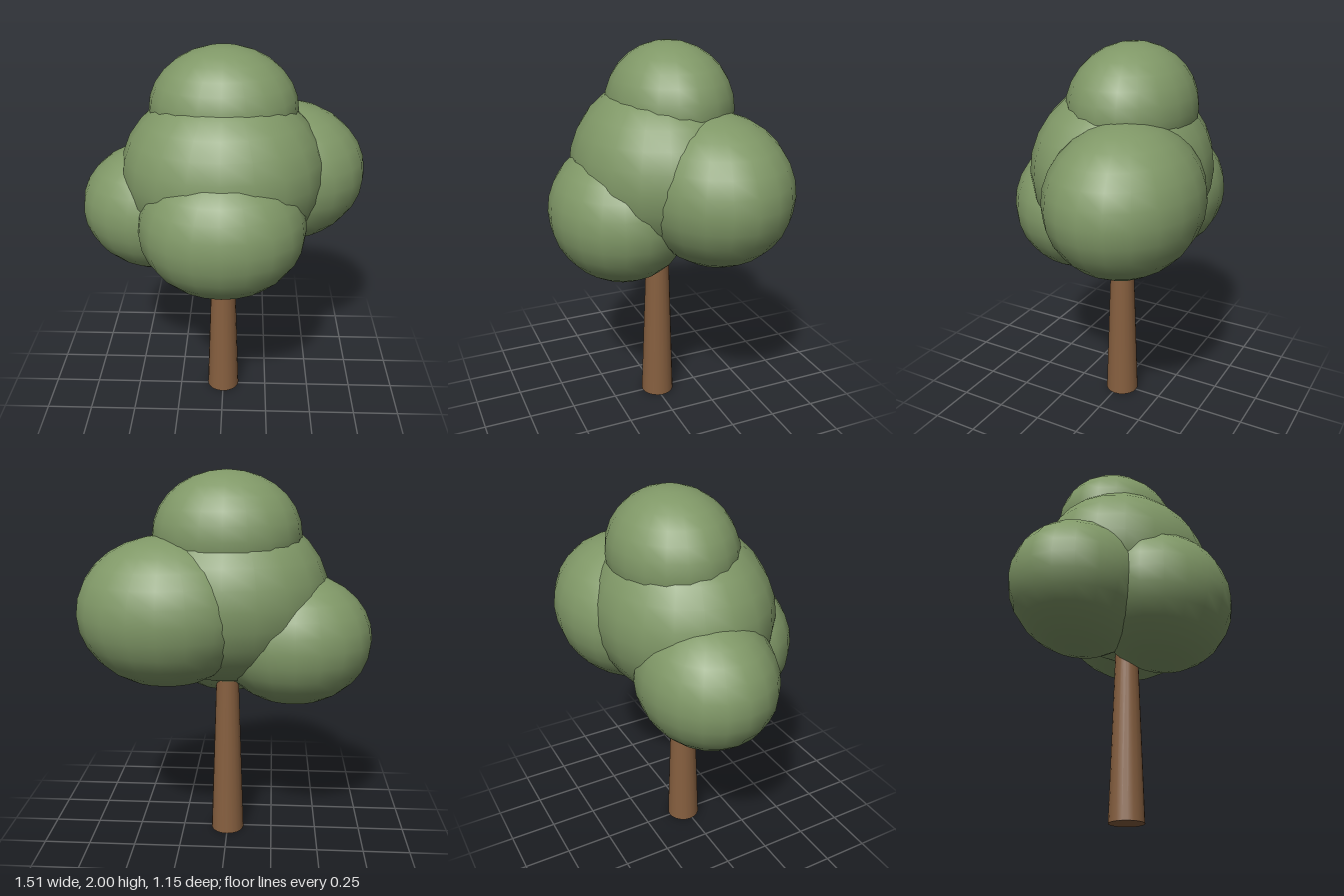
import * as THREE from 'three';

export function createModel() {
  const tree = new THREE.Group();
  tree.name = 'tree';

  const bark = new THREE.MeshStandardMaterial({ color: 0x865f3f });
  const leaves = new THREE.MeshStandardMaterial({ color: 0x809867 });

  // Tapered trunk, its top buried in the crown
  const trunkHeight = 1.1;
  const trunk = new THREE.Mesh(new THREE.CylinderGeometry(0.054, 0.091, trunkHeight, 20), bark);
  trunk.name = 'trunk';
  trunk.position.set(0, trunkHeight / 2, -0.013);
  tree.add(trunk);

  // Crown of overlapping blobs, each a sphere widened along x
  const crown = new THREE.Group();
  crown.name = 'crown';
  const ball = new THREE.SphereGeometry(1, 20, 14);
  const blobs = [
    // name, centre, x radius, y and z radius
    ['middleFoliage', [0, 1.36, -0.02], 0.53, 0.46],
    ['topFoliage', [0, 1.677, -0.073], 0.382, 0.323],
    ['frontFoliage', [0, 1.143, 0.203], 0.43, 0.368],
    ['leftFoliage', [0.3, 1.303, -0.192], 0.457, 0.384],
    ['rightFoliage', [-0.35, 1.143, -0.075], 0.407, 0.348],
  ];
  for (const [name, centre, wide, round] of blobs) {
    const blob = new THREE.Mesh(ball, leaves);
    blob.name = name;
    blob.position.set(...centre);
    blob.scale.set(wide, round, round);
    crown.add(blob);
  }
  tree.add(crown);

  return tree;
}
